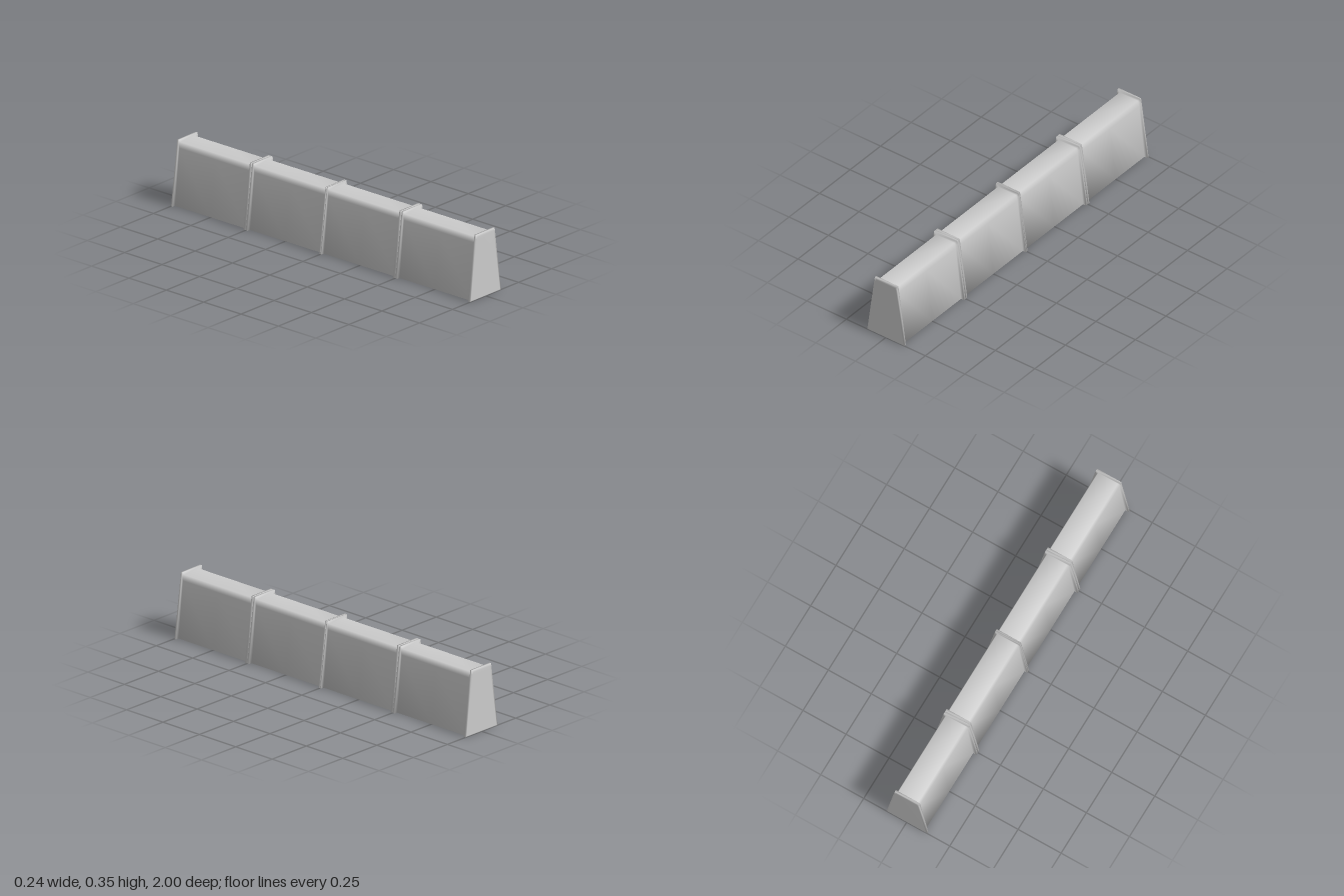
import * as THREE from 'three';

// Six-point tapered outline, counter-clockwise seen from +z
function outline(base, shoulder, shoulderY, top, height, y0 = 0) {
  return [[-base, y0], [base, y0], [shoulder, shoulderY], [top, height], [-top, height], [-shoulder, shoulderY]];
}

const BODY = outline(0.1, 0.066, 0.3, 0.057, 0.33);
const PLATE = outline(0.118, 0.0735, 0.325, 0.07, 0.346);
const FACE = outline(0.109, 0.064, 0.322, 0.059, 0.334, 0.004);

// Skin a list of [outline, z] sections, closed at both ends, with shared smooth normals
function loft(sections) {
  const n = 6, pos = [], idx = [];
  for (const [pts, z] of sections) for (const [x, y] of pts) pos.push(x, y, z);
  for (let s = 0; s < sections.length - 1; s++) {
    for (let i = 0; i < n; i++) {
      const a = s * n + i, b = s * n + (i + 1) % n;
      idx.push(a, b, b + n, a, b + n, a + n);
    }
  }
  const last = (sections.length - 1) * n;
  // End caps: a lower quad and an upper quad
  for (const [a, b, c] of [[0, 1, 2], [0, 2, 5], [5, 2, 3], [5, 3, 4]]) {
    idx.push(c, b, a, last + a, last + b, last + c);
  }
  const g = new THREE.BufferGeometry();
  g.setAttribute('position', new THREE.Float32BufferAttribute(pos, 3));
  g.setIndex(idx);
  g.computeVertexNormals();
  return g;
}

// One barrier section: tapered body with a wider flange plate at each end
function barrierSection(z0, z1, t0, t1) {
  return loft([
    [FACE, z0], [PLATE, z0 + 0.001], [PLATE, z0 + t0], [BODY, z0 + t0],
    [BODY, (z0 + z1) / 2],
    [BODY, z1 - t1], [PLATE, z1 - t1], [PLATE, z1 - 0.001], [FACE, z1],
  ]);
}

export function createModel() {
  const group = new THREE.Group();
  group.name = 'barrierWall';
  const material = new THREE.MeshStandardMaterial({ color: 0xcccccc });

  // Start, end and flange thicknesses of the four sections
  const sections = [
    [-1, -0.5, 0.012, 0.014],
    [-0.5, 0, 0.014, 0.008],
    [0, 0.5, 0.008, 0.014],
    [0.5, 1, 0.014, 0.012],
  ];
  sections.forEach((s, i) => {
    const mesh = new THREE.Mesh(barrierSection(...s), material);
    mesh.name = `barrierSection${i + 1}`;
    group.add(mesh);
  });
  return group;
}
